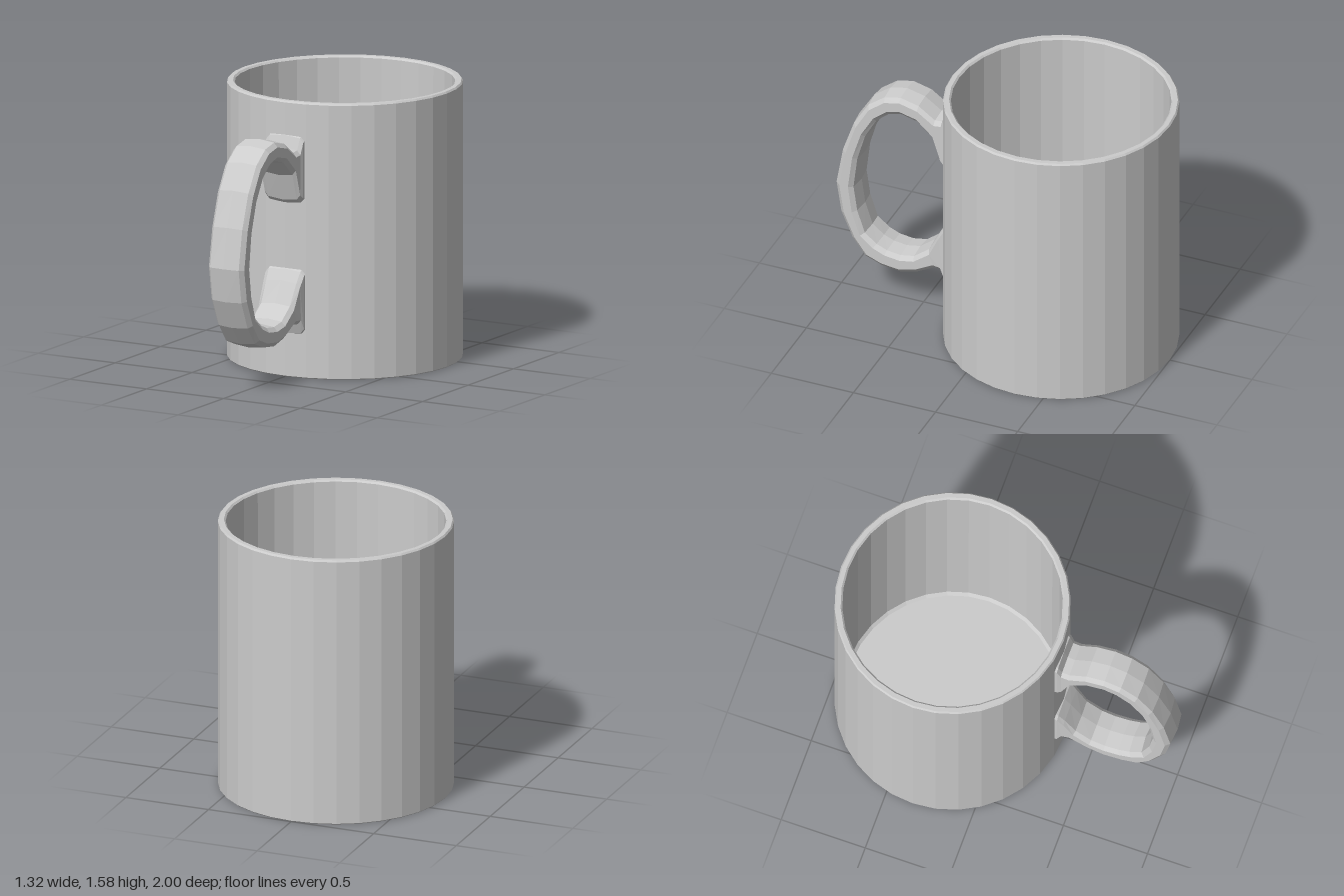
import * as THREE from 'three';

const material = new THREE.MeshStandardMaterial({ color: 0xcccccc, flatShading: true });

// Thin-walled cup with bevelled rim, inner floor and recessed underside
function createCup() {
  const profile = [
    [0, 0.02], [0.6, 0.02], [0.615, 0], [0.657, 0], [0.662, 0.005],
    [0.662, 1.57], [0.654, 1.58], [0.628, 1.58], [0.618, 1.57],
    [0.616, 0.07], [0.6, 0.05], [0, 0.05],
  ].map(([r, y]) => new THREE.Vector2(r, y));
  const cup = new THREE.Mesh(new THREE.LatheGeometry(profile, 32), material);
  cup.name = 'cup';
  cup.position.z = -0.338;
  return cup;
}

// Handle lofted from top to bottom; each station is [outer z, outer y, inner z, inner y, half width]
function createHandle() {
  const w = 0.115;
  const stations = [
    [0.3, 1.4, 0.3, 0.99, 0.12],
    [0.325, 1.385, 0.328, 1.0, 0.12],
    [0.347, 1.32, 0.35, 1.02, w],
    [0.39, 1.315, 0.4, 1.17, w],
    [0.49, 1.385, 0.5, 1.26, w],
    [0.6, 1.412, 0.6, 1.285, w],
    [0.7, 1.39, 0.67, 1.265, w],
    [0.8, 1.315, 0.745, 1.2, w],
    [0.89, 1.17, 0.81, 1.08, w],
    [0.96, 0.97, 0.855, 0.92, w],
    [1.0, 0.74, 0.877, 0.73, w],
    [0.97, 0.545, 0.855, 0.58, w],
    [0.9, 0.385, 0.81, 0.445, w],
    [0.82, 0.28, 0.74, 0.39, w],
    [0.72, 0.24, 0.68, 0.365, w],
    [0.6, 0.225, 0.6, 0.355, w],
    [0.5, 0.25, 0.52, 0.37, w],
    [0.385, 0.31, 0.43, 0.44, w],
    [0.347, 0.305, 0.365, 0.56, 0.12],
    [0.325, 0.25, 0.328, 0.62, 0.125],
    [0.3, 0.24, 0.3, 0.64, 0.125],
  ];
  const positions = [];
  for (const [oz, oy, iz, iy, half] of stations) {
    const depth = Math.hypot(iz - oz, iy - oy);
    // Bevelled section: distance across the width, distance inward from the outer face
    const side = [[half - 0.022, 0.01], [half, 0.035], [half, depth - 0.035], [half - 0.022, depth - 0.01]];
    const ring = [[0, 0], ...side, [0, depth], ...side.map(([x, d]) => [-x, d]).reverse()];
    for (const [x, d] of ring) {
      const k = d / depth;
      positions.push(x, oy + (iy - oy) * k, oz + (iz - oz) * k);
    }
  }
  const n = 10;
  const index = [];
  for (let i = 0; i < stations.length - 1; i++) {
    for (let j = 0; j < n; j++) {
      const a = i * n + j, b = i * n + (j + 1) % n;
      index.push(a, a + n, b, b, a + n, b + n);
    }
  }
  let geometry = new THREE.BufferGeometry();
  geometry.setAttribute('position', new THREE.Float32BufferAttribute(positions, 3));
  geometry.setIndex(index);
  geometry = geometry.toNonIndexed();
  geometry.computeVertexNormals();
  const handle = new THREE.Mesh(geometry, material);
  handle.name = 'handle';
  return handle;
}

export function createModel() {
  const mug = new THREE.Group();
  mug.name = 'mug';
  mug.add(createCup(), createHandle());
  return mug;
}
